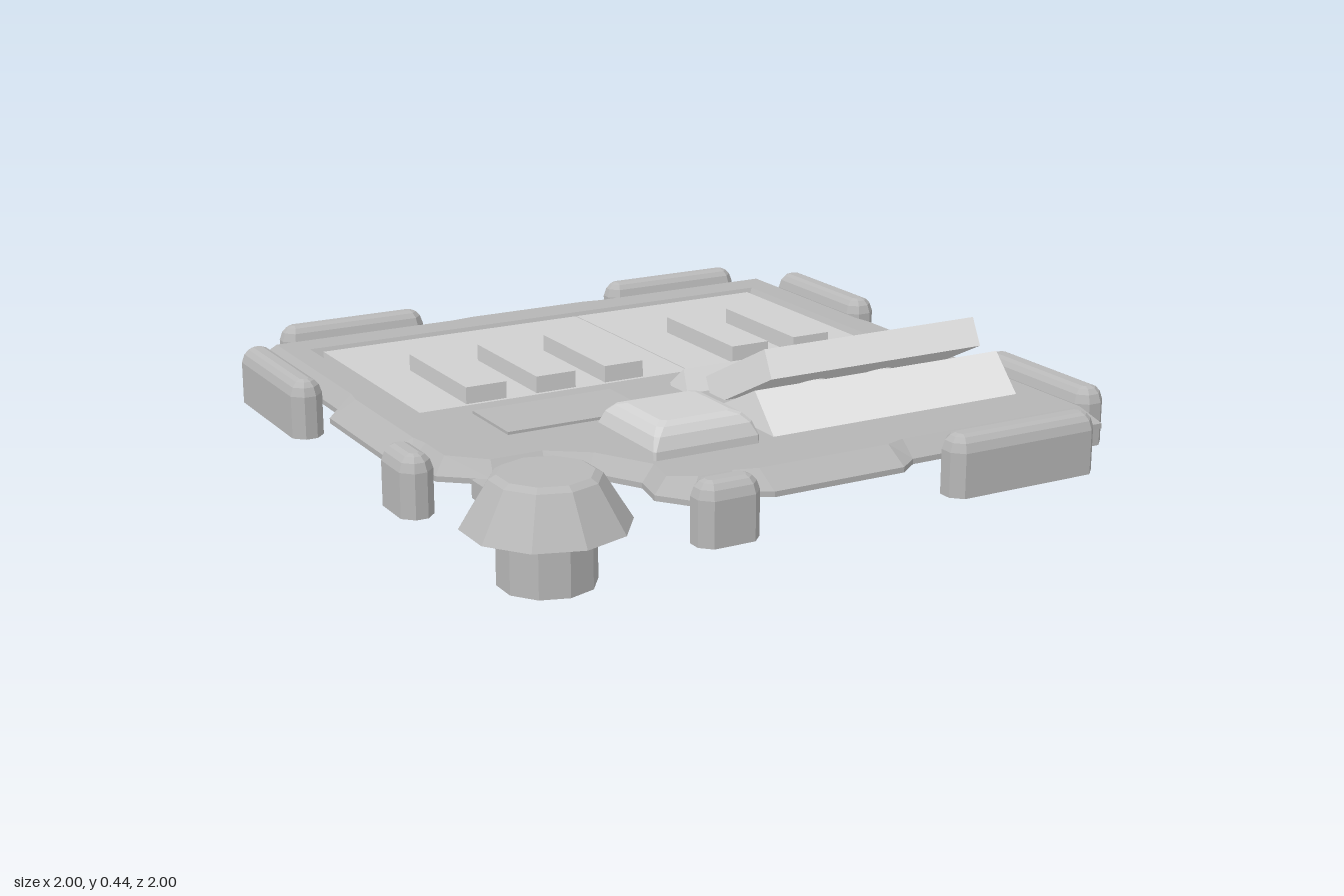
import * as THREE from 'three';

const paint = (name, color, side = THREE.FrontSide) => {
  const m = new THREE.MeshStandardMaterial({ color, side });
  m.name = name;
  return m;
};

// Skin between closed loops of equal length; each loop is a list of [x, y, z]
function loft(loops, cap) {
  const pos = [], n = loops[0].length;
  const tri = (a, b, c) => pos.push(...a, ...b, ...c);
  for (let i = 0; i + 1 < loops.length; i++) {
    for (let j = 0; j < n; j++) {
      const k = (j + 1) % n, A = loops[i], B = loops[i + 1];
      tri(A[j], B[j], B[k]);
      tri(A[j], B[k], A[k]);
    }
  }
  if (cap) {
    const lo = loops[0], hi = loops[loops.length - 1];
    for (let j = 1; j + 1 < n; j++) {
      tri(lo[0], lo[j], lo[j + 1]);
      tri(hi[0], hi[j + 1], hi[j]);
    }
  }
  const g = new THREE.BufferGeometry();
  g.setAttribute('position', new THREE.Float32BufferAttribute(pos, 3));
  g.computeVertexNormals();
  return g;
}

// Rectangle with cut corners, clockwise in x/z as seen with z down the page
function cutRect(x0, x1, z0, z1, y, inset, cut) {
  const a = x0 + inset, b = x1 - inset, c = z0 + inset, d = z1 - inset, e = cut;
  return [[a + e, c], [b - e, c], [b, c + e], [b, d - e], [b - e, d], [a + e, d], [a, d - e], [a, c + e]]
    .map(([x, z]) => [x, y, z]);
}

// Extrude a (z, y) profile along x from x0 to x1
function profileX(points, x0, x1) {
  const shape = new THREE.Shape(points.map(([z, y]) => new THREE.Vector2(z, y)));
  return new THREE.ExtrudeGeometry(shape, { depth: x1 - x0, bevelEnabled: false })
    .rotateY(-Math.PI / 2).translate(x1, 0, 0);
}

export function createModel() {
  const model = new THREE.Group();
  const shell = paint('shell grey', 0xb8b8b8);
  const open = paint('deck grey', 0xb5b5b5, THREE.DoubleSide);
  const pale = paint('panel grey', 0xd0d0d0);
  const white = paint('housing white', 0xe6e6e6);

  const add = (name, geo, mat) => {
    const m = new THREE.Mesh(geo, mat);
    m.name = name;
    model.add(m);
    return m;
  };
  const box = (name, x0, x1, y0, y1, z0, z1, mat) => add(name,
    new THREE.BoxGeometry(x1 - x0, y1 - y0, z1 - z0)
      .translate((x0 + x1) / 2, (y0 + y1) / 2, (z0 + z1) / 2), mat);

  // Deck outline: outer x, z then the matching point on the flat top
  const rim = [
    [-0.9, -0.9, -0.86, -0.86], [-0.27, -0.9, -0.27, -0.86], [-0.2, -0.95, -0.2, -0.87],
    [0.2, -0.95, 0.2, -0.87], [0.26, -0.9, 0.26, -0.86], [0.9, -0.9, 0.86, -0.86],
    [0.9, -0.26, 0.86, -0.26], [0.94, -0.2, 0.87, -0.2], [0.94, 0.2, 0.87, 0.2],
    [0.9, 0.26, 0.86, 0.26], [0.9, 0.9, 0.86, 0.85], [0.26, 0.9, 0.26, 0.85],
    [0.2, 0.945, 0.2, 0.87], [-0.2, 0.945, -0.2, 0.87], [-0.27, 0.9, -0.27, 0.85],
    [-0.42, 0.9, -0.37, 0.85], [-0.48, 0.82, -0.44, 0.81], [-0.46, 0.72, -0.42, 0.71],
    [-0.54, 0.58, -0.51, 0.55], [-0.63, 0.51, -0.62, 0.47], [-0.78, 0.51, -0.77, 0.47],
    [-0.9, 0.41, -0.86, 0.38], [-0.9, 0.26, -0.86, 0.26], [-0.95, 0.2, -0.87, 0.2],
    [-0.95, -0.2, -0.87, -0.2], [-0.9, -0.26, -0.86, -0.26],
  ];
  const top = new THREE.Shape(rim.map(p => new THREE.Vector2(p[2], -p[3])));
  top.holes.push(new THREE.Path([[-0.79, 0.76], [0.78, 0.76], [0.78, -0.005], [-0.79, -0.005]]
    .map(p => new THREE.Vector2(...p))));
  add('deckTop', new THREE.ShapeGeometry(top).rotateX(-Math.PI / 2).translate(0, 0.242, 0), open);
  add('deckRim', loft([
    rim.map(p => [p[2], 0.19, p[3]]),
    rim.map(p => [p[0], 0.185, p[1]]),
    rim.map(p => [p[0], 0.2, p[1]]),
    rim.map(p => [p[2], 0.242, p[3]]),
  ], false), open);

  // Recessed tray with sloping walls and a tilted underside
  const rect = (a, b, c, d, y) => [[a, y, c], [b, y, c], [b, y, d], [a, y, d]];
  add('trayWalls', loft([rect(-0.79, 0.78, -0.76, 0.005, 0.242),
    rect(-0.76, 0.75, -0.735, -0.01, 0.2)], false), open);
  add('trayBase', profileX([[0.005, 0.2], [-0.76, 0.2], [-0.76, 0.13]], -0.79, 0.78), shell);
  box('trayPanelRight', -0.757, 0.102, 0.19, 0.236, -0.735, -0.01, pale);
  box('trayPanelLeft', 0.106, 0.747, 0.19, 0.236, -0.735, -0.01, pale);
  for (const x of [-0.61, -0.39, -0.17, 0.26, 0.475]) {
    box('key', x, x + 0.125, 0.23, 0.285, -0.42, -0.025, pale);
  }

  // Rounded bumper pads around the edge
  const pads = [
    [-0.81, -0.34, -1, -0.91], [0.33, 0.81, -1, -0.91],
    [-1, -0.905, -0.81, -0.34], [0.9, 1, -0.81, -0.34],
    [-1, -0.905, 0.26, 0.44], [0.9, 1, 0.33, 0.81],
    [0.33, 0.81, 0.9, 1], [-0.44, -0.26, 0.9, 1],
  ];
  for (const p of pads) {
    add('bumperPad', loft([[0.1, 0, 0.03], [0.225, 0, 0.03], [0.25, 0.008, 0.025],
      [0.264, 0.02, 0.018], [0.27, 0.034, 0.008]].map(r => cutRect(...p, ...r)), true), shell);
  }

  // Corner post with a flared cap, and the bracket that carries it
  const profile = [[0, 0], [0.13, 0], [0.13, 0.155], [0.222, 0.155], [0.145, 0.28], [0.125, 0.292], [0, 0.292]]
    .map(p => new THREE.Vector2(...p));
  const post = new THREE.LatheGeometry(profile, 10).toNonIndexed();
  post.computeVertexNormals();
  add('cornerPost', post.translate(-0.755, 0, 0.76), shell);
  box('postBracket', -0.83, -0.61, 0.15, 0.2, 0.48, 0.68, shell);

  // Large button with soft shoulders, and a flat plate on the deck
  add('button', loft([[0.235, 0, 0.006], [0.265, 0, 0.006], [0.3, 0.012, 0.012], [0.32, 0.03, 0.015],
    [0.328, 0.055, 0.015]].map(r => cutRect(-0.41, -0.09, 0.38, 0.695, ...r)), true), pale);
  box('deckPlate', -0.64, -0.21, 0.235, 0.25, 0.08, 0.305, shell);

  // Wedge housing holding a tilted block with two round sockets
  add('housing', profileX([[0.67, 0.24], [0.57, 0.345], [0.23, 0.18], [0.187, 0.31], [0.11, 0.25],
    [0.17, 0.14]], -0.03, 0.78), white);
  const face = new THREE.Shape([[0.03, 0], [0.73, 0], [0.73, 0.347], [0.03, 0.347]]
    .map(p => new THREE.Vector2(...p)));
  for (const x of [0.263, 0.49]) {
    face.holes.push(new THREE.Path().absarc(x, 0.157, 0.046, 0, Math.PI * 2, true));
  }
  const a = 0.464, s = Math.sin(a), c = Math.cos(a);
  const tilt = new THREE.Matrix4().makeBasis(new THREE.Vector3(1, 0, 0),
    new THREE.Vector3(0, s, c), new THREE.Vector3(0, -c, s)).setPosition(0, 0.285, 0.21);
  add('socketBlock', new THREE.ExtrudeGeometry(face, { depth: 0.085, bevelEnabled: false, curveSegments: 10 })
    .applyMatrix4(tilt), white);
  box('underBox', 0.36, 0.7, 0.1, 0.155, -0.03, 0.4, shell);

  return model;
}
